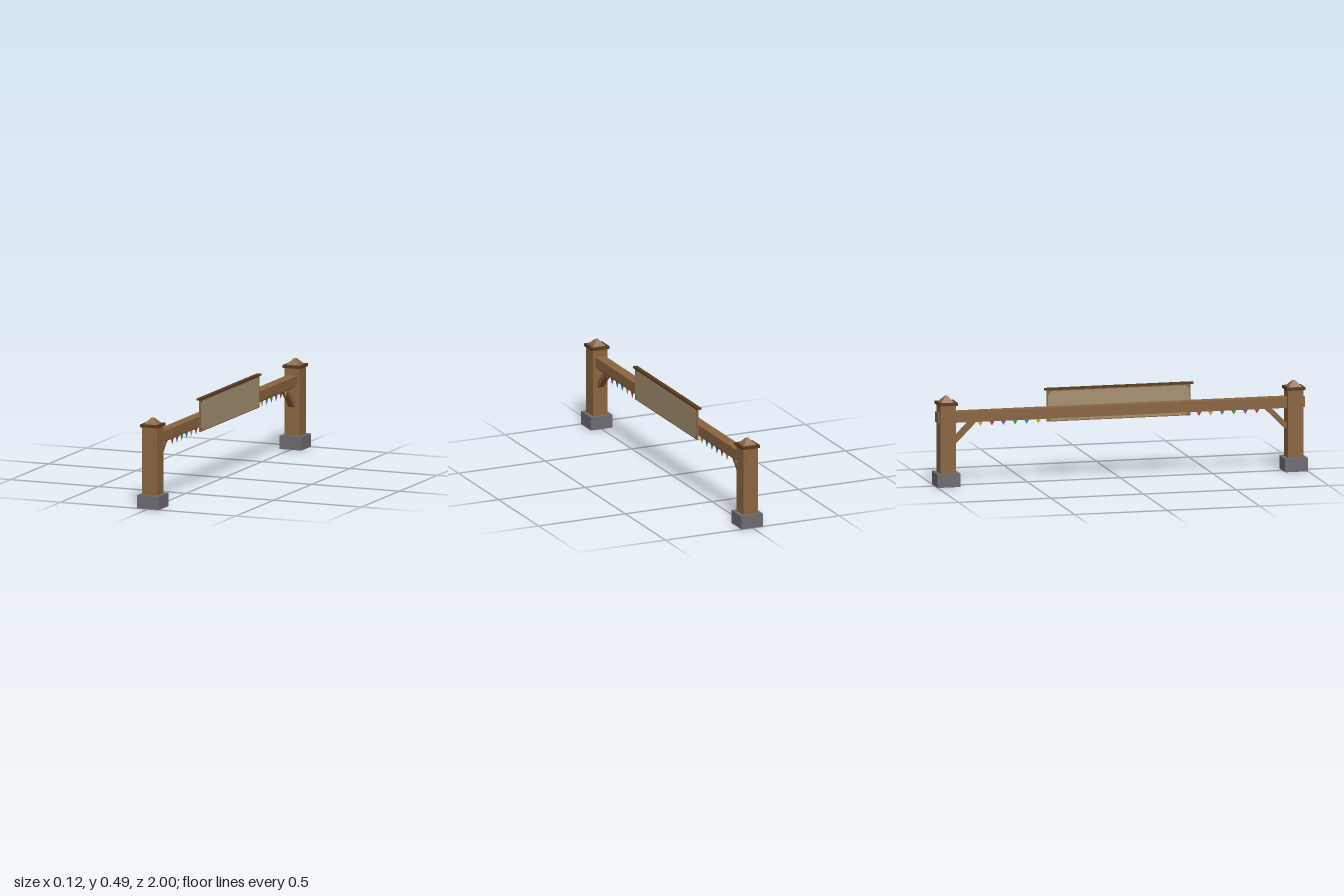
import * as THREE from 'three';

const mat = (name, color, side = THREE.FrontSide) => {
  const m = new THREE.MeshStandardMaterial({ color, side });
  m.name = name;
  return m;
};

export function createModel() {
  const root = new THREE.Group();
  root.name = 'archway';
  const D = THREE.DoubleSide;
  const wood = mat('wood', 0x8b6540);
  const darkWood = mat('dark wood', 0x583a20);
  const stone = mat('stone', 0x6c6c72, D);
  const tan = mat('tan board', 0xa59171);
  const flags = [
    mat('red', 0xc8403c, D), mat('yellow', 0xcda038, D), mat('blue', 0x2f90c0, D),
    mat('green', 0x3f9e3f, D), mat('purple', 0x8a4fbc, D),
  ];

  const add = (parent, name, geo, material, x = 0, y = 0, z = 0) => {
    const m = new THREE.Mesh(geo, material);
    m.name = name;
    m.position.set(x, y, z);
    parent.add(m);
    return m;
  };
  const box = (parent, name, material, w, h, d, x, y, z) =>
    add(parent, name, new THREE.BoxGeometry(w, h, d), material, x, y, z);

  // Footing: a box without its underside
  const footing = new THREE.BoxGeometry(0.124, 0.071, 0.124);
  const idx = Array.from(footing.index.array);
  idx.splice(18, 6);
  footing.setIndex(idx);
  footing.clearGroups();

  // Four-sided finial with a small flat top
  const finial = new THREE.CylinderGeometry(0.0105, 0.05, 0.031, 4).toNonIndexed();
  finial.rotateY(Math.PI / 4);
  finial.computeVertexNormals();

  // Flat triangle hanging in the zy plane
  const pennant = new THREE.BufferGeometry();
  pennant.setAttribute('position', new THREE.Float32BufferAttribute(
    [0, 0, 0.021, 0, -0.035, 0, 0, 0, -0.021], 3));
  pennant.computeVertexNormals();

  for (const s of [1, -1]) {
    const end = s > 0 ? 'front' : 'back';

    // Post with footing, cap and finial
    const post = new THREE.Group();
    post.name = end + 'Post';
    post.position.z = s * 0.938;
    root.add(post);
    add(post, 'footing', footing, stone, 0, 0.0355, 0);
    box(post, 'shaft', wood, 0.085, 0.36, 0.085, 0, 0.25, 0);
    box(post, 'cap', darkWood, 0.101, 0.015, 0.101, 0, 0.4375, 0);
    add(post, 'finial', finial, wood, 0, 0.4605, 0);

    // Diagonal brace below the beam
    const brace = box(root, end + 'Brace', wood, 0.034, 0.15, 0.026, 0, 0.287, s * 0.845);
    brace.rotation.x = -s * Math.PI / 4;

    // String of pennants
    const bunting = new THREE.Group();
    bunting.name = end + 'Bunting';
    root.add(bunting);
    box(bunting, 'cord', darkWood, 0.003, 0.003, 0.44, 0.0285, 0.3375, s * 0.62);
    for (let i = 0; i < 6; i++) {
      const colour = flags[(i + (s > 0 ? 0 : 1)) % flags.length];
      add(bunting, 'pennant', pennant, colour, 0.0285, 0.338, s * (0.434 + i * 0.0625));
    }
  }

  // Crossbeam running through both posts
  box(root, 'beam', wood, 0.056, 0.056, 1.982, 0, 0.364, 0);

  // Sign: wooden frame, tan faces with cut corners, top rail
  const sign = new THREE.Group();
  sign.name = 'sign';
  root.add(sign);
  box(sign, 'frame', wood, 0.008, 0.168, 0.776, 0.0305, 0.394, 0);
  const w = 0.382, h = 0.078, c = 0.02;
  const outline = new THREE.Shape([
    [w - c, -h], [w, c - h], [w, h - c], [w - c, h],
    [c - w, h], [-w, h - c], [-w, c - h], [c - w, -h],
  ].map(([a, b]) => new THREE.Vector2(a, b)));
  const face = new THREE.ExtrudeGeometry(outline, { depth: 0.001, bevelEnabled: false });
  add(sign, 'frontFace', face, tan, 0.0345, 0.393, 0).rotation.y = Math.PI / 2;
  add(sign, 'backFace', face, tan, 0.0265, 0.393, 0).rotation.y = -Math.PI / 2;
  box(sign, 'topRail', darkWood, 0.024, 0.01, 0.8, 0.0275, 0.483, 0);

  return root;
}
